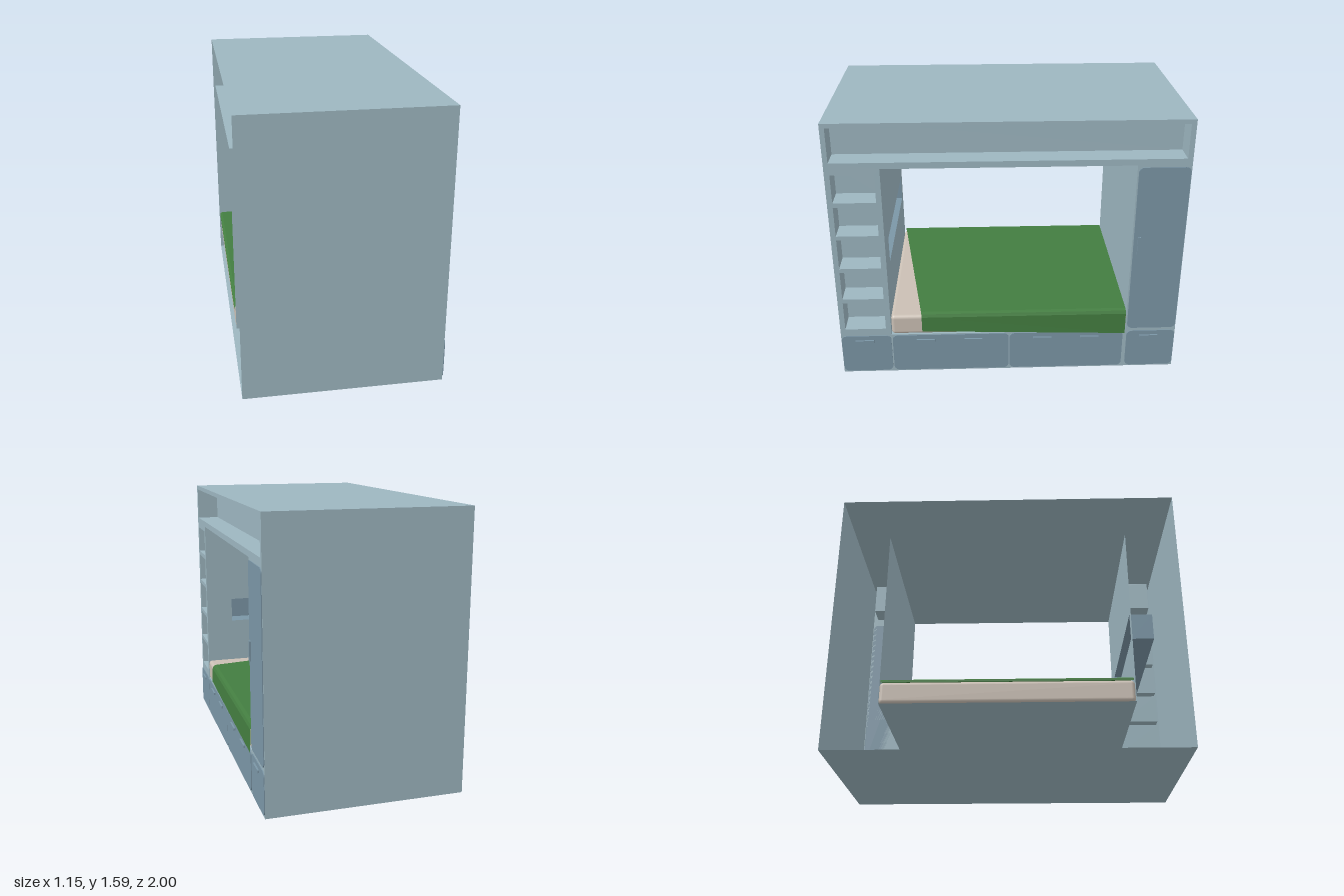
import * as THREE from 'three';
import { RoundedBoxGeometry } from 'three/addons/geometries/RoundedBoxGeometry.js';

const mat = (name, color) => new THREE.MeshStandardMaterial({ name, color, side: THREE.DoubleSide });
const FRONT = 0.557, BACK = -0.568, HEIGHT = 1.59;

// Box whose listed faces are left out (0 +x, 1 -x, 2 +y, 3 -y, 4 +z, 5 -z)
function openBox([x0, x1], [y0, y1], [z0, z1], drop = []) {
  const g = new THREE.BoxGeometry(x1 - x0, y1 - y0, z1 - z0);
  const index = Array.from(g.index.array).filter((_, i) => !drop.includes(Math.floor(i / 6)));
  g.setIndex(index);
  g.clearGroups();
  return g.translate((x0 + x1) / 2, (y0 + y1) / 2, (z0 + z1) / 2);
}

// Rectangle outline, usable as a shape or as a hole
function rect(target, [a0, a1], [b0, b1]) {
  target.moveTo(a0, b0);
  target.lineTo(a1, b0);
  target.lineTo(a1, b1);
  target.lineTo(a0, b1);
  target.closePath();
  return target;
}

function roundedRect([a0, a1], [b0, b1], r) {
  const s = new THREE.Shape();
  s.absarc(a1 - r, b0 + r, r, -Math.PI / 2, 0);
  s.absarc(a1 - r, b1 - r, r, 0, Math.PI / 2);
  s.absarc(a0 + r, b1 - r, r, Math.PI / 2, Math.PI);
  s.absarc(a0 + r, b0 + r, r, Math.PI, Math.PI * 1.5);
  s.closePath();
  return s;
}

export function createModel() {
  const root = new THREE.Group();
  root.name = 'cabinetBed';
  const body = mat('paleBlue', 0x9db6c0);
  const panel = mat('slateBlue', 0x7b96a6);
  const green = mat('blanketGreen', 0x437d40);
  const linen = mat('linen', 0xcabfb4);
  const add = (name, geometry, material, parent = root) => {
    const m = new THREE.Mesh(geometry, material);
    m.name = name;
    parent.add(m);
    return m;
  };
  const group = (name) => {
    const g = new THREE.Group();
    g.name = name;
    root.add(g);
    return g;
  };

  // Outer shell, open at the back
  add('outerShell', openBox([BACK, FRONT], [0, HEIGHT], [-1, 1], [0, 1]), body);

  // Front frame with openings for the alcove and the shelves
  const alcoveY = [0.262, 1.33], alcoveZ = [-0.7, 0.7];
  const openings = [[[1.366, 1.564], [-0.971, 0.973]]];
  for (const y of [[1.13, 1.297], [0.925, 1.103], [0.716, 0.9], [0.512, 0.692], [0.305, 0.487]]) {
    openings.push([y, [0.731, 0.97]]);
  }
  const frame = rect(new THREE.Shape(), [-1, 1], [0, HEIGHT]);
  for (const [y, z] of [[alcoveY, alcoveZ], ...openings]) {
    frame.holes.push(rect(new THREE.Path(), [-z[1], -z[0]], y));
  }
  add('frontFrame', new THREE.ShapeGeometry(frame).rotateY(Math.PI / 2).translate(FRONT, 0, 0), body);

  // Shelf compartments
  const shelves = group('shelves');
  for (const [y, z] of openings) {
    add('shelfCompartment', openBox([FRONT - 0.135, FRONT], y, z, [0]), body, shelves);
  }

  // Sleeping alcove and the niche in its head wall
  add('alcove', openBox([BACK, FRONT], alcoveY, alcoveZ, [0, 1, 4]), body);
  const nicheX = [-0.51, 0.386], nicheY = [0.665, 0.82];
  const headWall = rect(new THREE.Shape(), [BACK, FRONT], alcoveY);
  headWall.holes.push(rect(new THREE.Path(), nicheX, nicheY));
  add('headWall', new THREE.ShapeGeometry(headWall).translate(0, 0, alcoveZ[1]), body);
  add('headNiche', openBox(nicheX, nicheY, [0.7, 0.83], [5]), panel);

  // Drawer fronts and the cupboard door
  const fronts = group('drawersAndDoor');
  const drawerY = [0.01, 0.257];
  for (const [name, y, z] of [
    ['drawerFront', drawerY, [0.703, 0.998]],
    ['drawerFront', drawerY, [0.003, 0.695]],
    ['drawerFront', drawerY, [-0.685, -0.003]],
    ['drawerFront', drawerY, [-0.998, -0.708]],
    ['cupboardDoor', [0.278, 1.318], [-0.997, -0.708]],
  ]) {
    const g = new THREE.ExtrudeGeometry(roundedRect([-z[1], -z[0]], y, 0.03),
      { depth: 0.005, bevelEnabled: false, curveSegments: 6 });
    add(name, g.rotateY(Math.PI / 2).translate(FRONT, 0, 0), panel, fronts);
  }

  // Handles
  const handles = group('handles');
  for (const z of [0.86, 0.497, 0.213, -0.2, -0.483, -0.84]) {
    add('drawerHandle', openBox([FRONT, 0.572], [0.214, 0.229], [z - 0.055, z + 0.055]), panel, handles);
  }
  add('doorHandle', openBox([FRONT, 0.572], [0.783, 0.892], [-0.747, -0.73]), panel, handles);

  // Mattress
  add('mattress', new RoundedBoxGeometry(1.127, 0.127, 1.4, 3, 0.022).translate(-0.0055, 0.3265, -0.002), linen);

  // Blanket: one cross-section, foot to head, with a slanted head edge and hem
  const section = [[-0.575, 0.383], [-0.575, 0.396], [-0.56, 0.404], [0.535, 0.404], [0.555, 0.398], [0.563, 0.38], [0.566, 0]];
  const n = section.length;
  const sheet = new THREE.PlaneGeometry(1, 1, n - 1, 1);
  for (let i = 0; i < n; i++) {
    const [x, y] = section[i];
    const headZ = THREE.MathUtils.mapLinear(x, -0.575, 0.566, 0.69, 0.516);
    sheet.attributes.position.setXYZ(i, x, y || 0.245, -0.695);
    sheet.attributes.position.setXYZ(n + i, x, y || 0.287, headZ);
  }
  const blanket = sheet.toNonIndexed();
  blanket.computeVertexNormals();
  add('blanket', blanket, green);

  return root;
}
